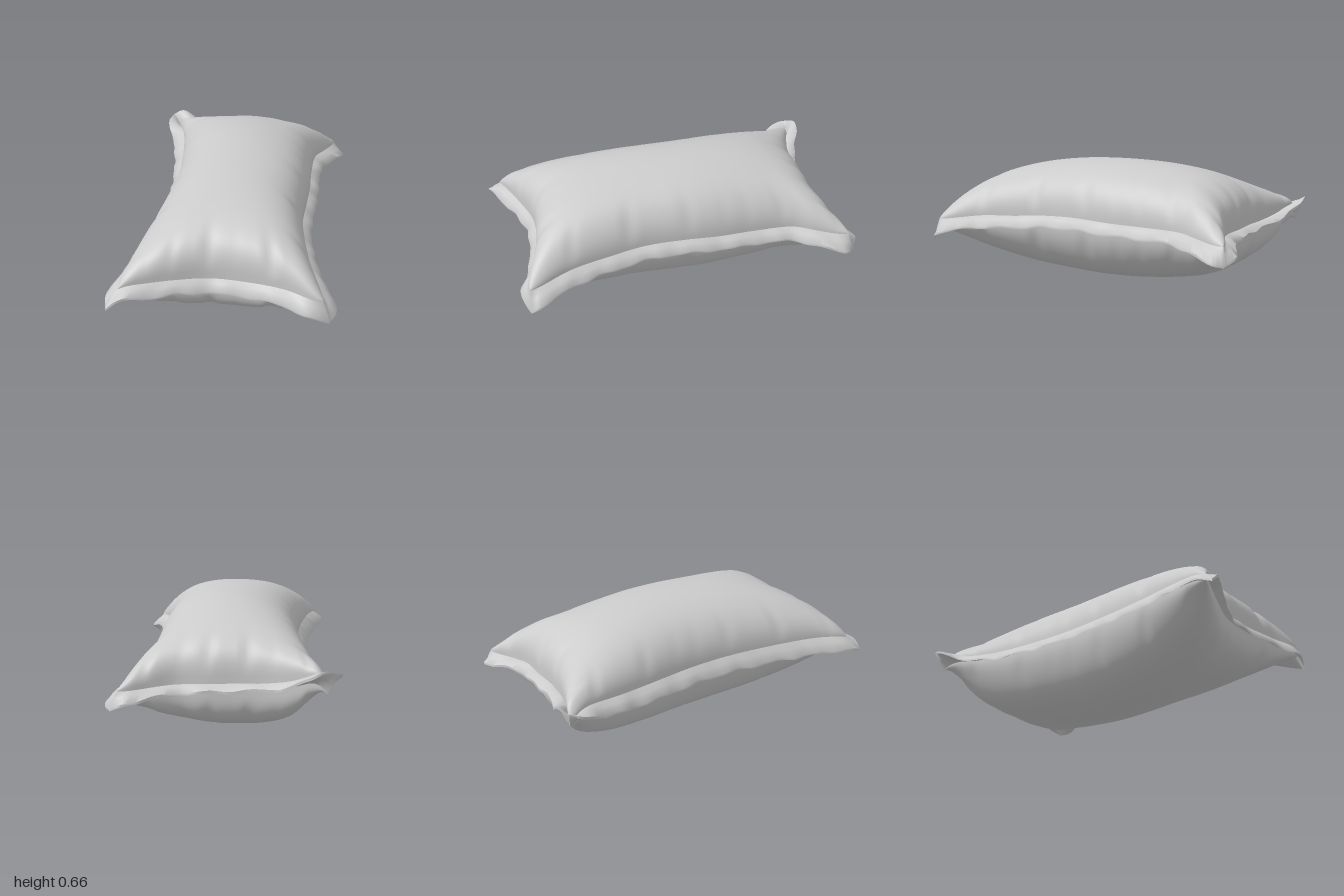
import * as THREE from 'three';
import { toCreasedNormals } from 'three/addons/utils/BufferGeometryUtils.js';

const NU = 72, NV = 104;         // cells across and along the pillow
const INNER_U = 0.865, INNER_V = 0.932; // where the flange meets the cushion

const curve = (pts) => {
  const c = new THREE.CatmullRomCurve3(pts.map((p) => new THREE.Vector3(...p)), false, 'centripetal');
  c.arcLengthDivisions = 500;
  return c;
};

// Outer seam, corner to corner (x, y, z)
const BL = [-0.47, 0.42, -0.975], BR = [0.635, 0.215, -0.835];
const FL = [-0.662, 0.24, 0.952], FR = [0.45, 0.19, 0.972];
const back = curve([BL, [-0.40, 0.44, -1], [-0.26, 0.35, -0.93], [-0.12, 0.31, -0.865], [0, 0.3, -0.835],
  [0.15, 0.29, -0.82], [0.3, 0.28, -0.80], [0.42, 0.27, -0.83], [0.57, 0.25, -0.88], BR]);
const right = curve([BR, [0.66, 0.23, -0.78], [0.58, 0.27, -0.62], [0.51, 0.285, -0.51], [0.47, 0.29, -0.3],
  [0.45, 0.295, -0.1], [0.42, 0.305, 0.1], [0.39, 0.3, 0.3], [0.395, 0.285, 0.5], [0.425, 0.275, 0.72], [0.485, 0.23, 0.94], FR]);
const front = curve([FL, [-0.6, 0.29, 0.955], [-0.48, 0.285, 0.92], [-0.35, 0.28, 0.88], [-0.17, 0.27, 0.84],
  [0, 0.265, 0.86], [0.2, 0.26, 0.92], [0.36, 0.235, 0.998], FR]);
const left = curve([BL, [-0.498, 0.4, -0.92], [-0.46, 0.33, -0.75], [-0.44, 0.3, -0.6], [-0.43, 0.29, -0.4],
  [-0.43, 0.29, -0.1], [-0.46, 0.29, 0.15], [-0.52, 0.285, 0.42], [-0.6, 0.28, 0.68], [-0.665, 0.27, 0.86], FL]);

// Surface spanning the four seam curves, u and v in -1..1
function seamSurface(u, v) {
  const s = (u + 1) / 2, t = (v + 1) / 2;
  const b = back.getPointAt(s), f = front.getPointAt(s);
  const l = left.getPointAt(t), r = right.getPointAt(t);
  const at = (k, n) => (1 - t) * b[k] + t * f[k] + (1 - s) * l[k] + s * r[k]
    - (1 - t) * ((1 - s) * BL[n] + s * BR[n]) - t * ((1 - s) * FL[n] + s * FR[n]);
  return new THREE.Vector3(at('x', 0), at('y', 1), at('z', 2));
}

// Grid of points -> geometry; i runs towards x, j towards z for an upward face
function grid(ni, nj, point, flip = false) {
  const pos = [], index = [];
  for (let j = 0; j <= nj; j++) for (let i = 0; i <= ni; i++) pos.push(...point(i, j).toArray());
  for (let j = 0; j < nj; j++) for (let i = 0; i < ni; i++) {
    const a = j * (ni + 1) + i, b = a + 1, c = a + ni + 1, d = c + 1;
    if (flip) index.push(a, b, c, b, d, c);
    else index.push(a, c, b, b, c, d);
  }
  const g = new THREE.BufferGeometry();
  g.setAttribute('position', new THREE.Float32BufferAttribute(pos, 3));
  g.setIndex(index);
  g.computeVertexNormals();
  return g;
}

const spread = (i, n) => Math.sin((i / n - 0.5) * Math.PI); // denser near the seams
const gather = (t, k) => Math.max(0, 0.6 * Math.sin(19 * t + k) + 0.6 * Math.sin(34 * t + 2.3 * k)) ** 1.5;

// Inner seam line: slightly raised so the flange droops, and level at the corners
function innerPoint(u, v) {
  const p = seamSurface(u * INNER_U, v * INNER_V);
  p.y = THREE.MathUtils.lerp(p.y, 0.285, 0.75 * (u * v) ** 8) + 0.013;
  return p;
}

// Inflated half: swells from the seam to the crown height, with gathers by the seams
function cushionHalf(top) {
  const side = top ? 1 : -1;
  return grid(NU, NV, (i, j) => {
    const u = spread(i, NU), v = spread(j, NV);
    const p = innerPoint(u, v);
    const cu = Math.max(0, 1 - u * u), cv = Math.max(0, 1 - v * v);
    const puckers = 0.26 * Math.abs(u) ** 9 * gather(v, u > 0 ? 1 : 4) * cv ** 0.5
      + 0.28 * Math.abs(v) ** 14 * gather(u * 0.6, v > 0 ? 2 : 5) * cu ** 0.5;
    const taper = 1 - 0.5 * (u * v) ** 4; // corners stay flatter
    const swell = cu ** 0.43 * cv ** 0.29 * taper * (1 - puckers);
    p.y = Math.max(0, THREE.MathUtils.lerp(p.y + side * 0.016, top ? 0.662 : -0.008, swell));
    return p;
  }, !top);
}

// Flange: thin tapered band following the whole seam
function flangeBand() {
  const ring = [];
  for (let i = 0; i < NU; i++) ring.push([spread(i, NU), -1]);
  for (let j = 0; j < NV; j++) ring.push([1, spread(j, NV)]);
  for (let i = NU; i > 0; i--) ring.push([spread(i, NU), 1]);
  for (let j = NV; j > 0; j--) ring.push([-1, spread(j, NV)]);
  const section = ([u, v], n) => {
    const a = innerPoint(u, v), b = seamSurface(u, v);
    // small ripples along the free edge, fading at the corners
    const calm = Math.min(1, 4 * (1 - Math.min(Math.abs(u), Math.abs(v))));
    const t = Math.abs(u) === 1 ? v : u * 0.6;
    const ripple = calm * (0.5 * Math.sin(27 * t + 3 * u) + 0.5 * Math.sin(43 * t + v));
    if (Math.abs(u) === 1) b.x += 0.006 * ripple;
    else b.z += 0.006 * ripple;
    b.y += 0.006 * calm * Math.sin(23 * t + 2 * u + v);
    const mid = a.clone().lerp(b, 0.5);
    const lift = (p, dy) => p.clone().setY(p.y + dy);
    return [lift(a, 0.016), lift(mid, 0.018), lift(b, 0.007),
      lift(b, -0.007), lift(mid, -0.014), lift(a, -0.016)][n];
  };
  return toCreasedNormals(grid(5, ring.length, (i, j) => section(ring[j % ring.length], i)), 0.9);
}

export function createModel() {
  const group = new THREE.Group();
  group.name = 'pillow';
  const fabric = new THREE.MeshStandardMaterial({ color: 0xcccccc, side: THREE.DoubleSide });
  const add = (name, geometry) => {
    const mesh = new THREE.Mesh(geometry, fabric);
    mesh.name = name;
    group.add(mesh);
  };
  add('cushionTop', cushionHalf(true));
  add('cushionBottom', cushionHalf(false));
  add('seamFlange', flangeBand());
  return group;
}
